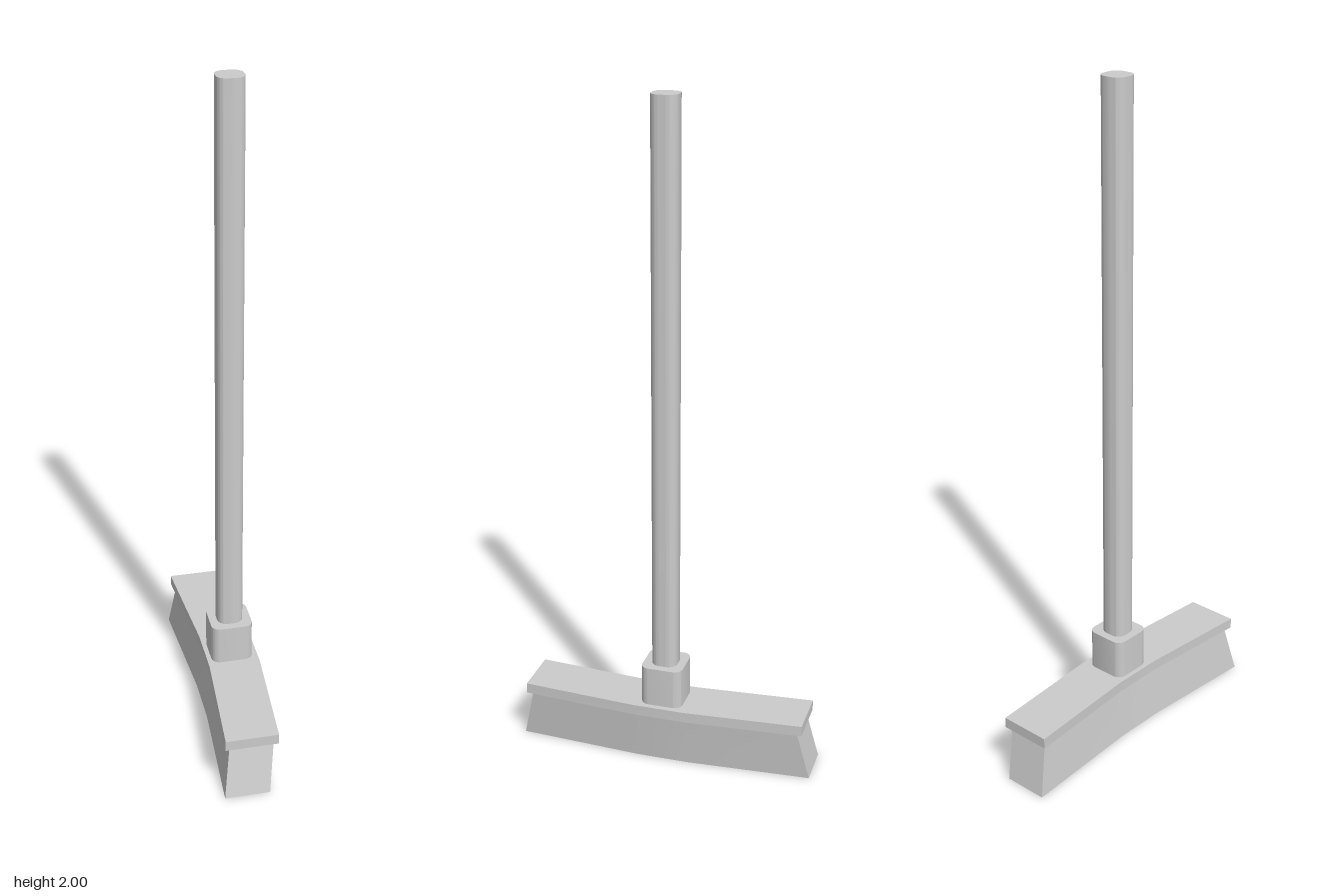
import * as THREE from 'three';
import { toCreasedNormals } from 'three/addons/utils/BufferGeometryUtils.js';

const material = new THREE.MeshStandardMaterial({ color: 0xcccccc });
const HANDLE_X = 0.014;

function part(name, geometry) {
  const mesh = new THREE.Mesh(geometry, material);
  mesh.name = name;
  return mesh;
}

// Block along z, straight in the middle and swept back toward both ends.
// Each level is { y, x0, x1, z, sweep }: middle extents, half length, end offset.
function sweptBlock(bottom, top) {
  const geometry = new THREE.BoxGeometry(2, 2, 2, 1, 1, 3);
  const pos = geometry.attributes.position;
  for (let i = 0; i < pos.count; i++) {
    const level = pos.getY(i) < 0 ? bottom : top;
    const side = Math.sign(pos.getZ(i));
    const atEnd = Math.abs(pos.getZ(i)) > 0.9;
    const x = pos.getX(i) < 0 ? level.x0 : level.x1;
    pos.setXYZ(i, x - (atEnd ? level.sweep : 0), level.y, side * (atEnd ? level.z : 0.08));
  }
  geometry.computeVertexNormals();
  return geometry;
}

// Upright post with a rounded square section.
function roundedPost(half, radius, y0, y1) {
  const shape = new THREE.Shape();
  const c = half - radius;
  [[c, c], [-c, c], [-c, -c], [c, -c]].forEach(([x, y], i) => {
    shape.absarc(x, y, radius, i * Math.PI / 2, (i + 1) * Math.PI / 2, false);
  });
  const geometry = new THREE.ExtrudeGeometry(shape, { depth: y1 - y0, bevelEnabled: false, curveSegments: 8 });
  geometry.rotateX(-Math.PI / 2);
  geometry.translate(HANDLE_X, y0, 0);
  return toCreasedNormals(geometry, 0.7);
}

export function createModel() {
  const group = new THREE.Group();
  group.name = 'broom';

  // Bristle block flares outward and leans back toward the floor
  group.add(part('bristles', sweptBlock(
    { y: 0, x0: -0.072, x1: 0.062, z: 0.453, sweep: 0.023 },
    { y: 0.16, x0: -0.051, x1: 0.08, z: 0.415, sweep: 0.023 },
  )));

  // Overhanging head plate
  group.add(part('headPlate', sweptBlock(
    { y: 0.158, x0: -0.063, x1: 0.094, z: 0.432, sweep: 0.026 },
    { y: 0.19, x0: -0.063, x1: 0.094, z: 0.432, sweep: 0.026 },
  )));

  // Socket and long handle
  group.add(part('socket', roundedPost(0.063, 0.026, 0.185, 0.312)));
  group.add(part('handle', roundedPost(0.039, 0.029, 0.3, 2)));

  return group;
}
